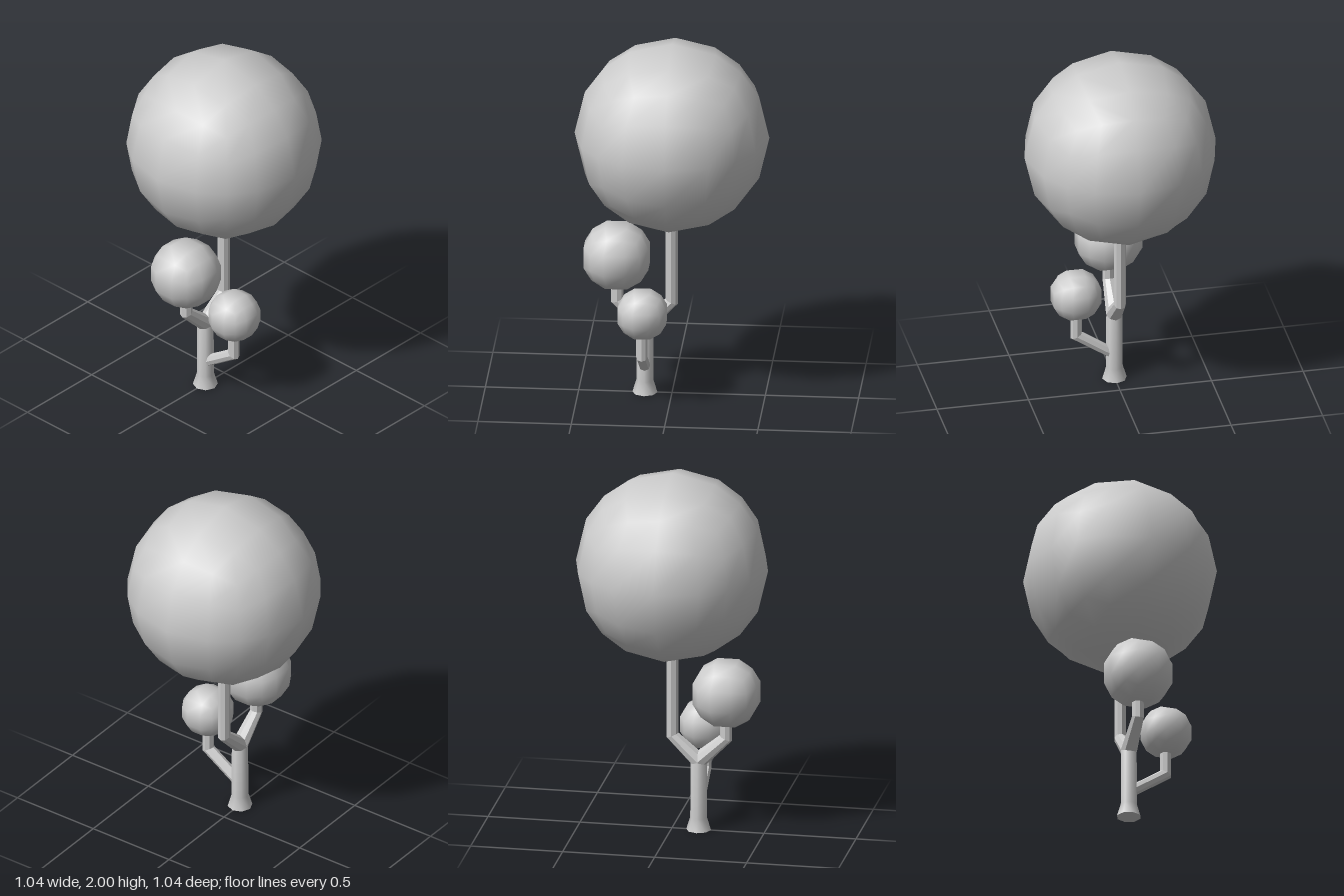
import * as THREE from 'three';

const material = new THREE.MeshStandardMaterial({ color: 0xcccccc });
const barkMaterial = new THREE.MeshStandardMaterial({ color: 0xcccccc, flatShading: true });

// Ball of leaves: a subdivided cube pushed out to a sphere, smooth normals
function foliage(name, radius, segments, x, y, z) {
  const geo = new THREE.BoxGeometry(2, 2, 2, segments, segments, segments);
  const pos = geo.attributes.position;
  const v = new THREE.Vector3();
  for (let i = 0; i < pos.count; i++) {
    v.fromBufferAttribute(pos, i).normalize();
    geo.attributes.normal.setXYZ(i, v.x, v.y, v.z);
    pos.setXYZ(i, v.x * radius, v.y * radius, v.z * radius);
  }
  const mesh = new THREE.Mesh(geo, material);
  mesh.name = name;
  mesh.position.set(x, y, z);
  return mesh;
}

// Eight-sided limb with mitred elbows; the path lies in one vertical plane.
// side is the direction square to that plane, radii has one value per point.
function limb(name, path, radii, side) {
  const sides = 8;
  const points = path.map((p) => new THREE.Vector3(...p));
  const b = new THREE.Vector3(...side);
  const last = points.length - 1;
  const vertices = [];
  const index = [];
  points.forEach((p, i) => {
    const into = points[i].clone().sub(points[Math.max(i - 1, 0)]).normalize();
    const out = points[Math.min(i + 1, last)].clone().sub(p).normalize();
    const t = into.clone().add(out).normalize();
    const n = new THREE.Vector3().crossVectors(t, b);
    const stretch = 1 / t.dot(i < last ? out : into);
    for (let k = 0; k < sides; k++) {
      const a = (k / sides) * Math.PI * 2;
      const q = p.clone()
        .addScaledVector(b, Math.cos(a) * radii[i])
        .addScaledVector(n, -Math.sin(a) * radii[i] * stretch);
      vertices.push(q.x, q.y, q.z);
      if (i < last) {
        const c = i * sides + k;
        const d = i * sides + ((k + 1) % sides);
        index.push(c, c + sides, d, d, c + sides, d + sides);
      }
    }
  });
  const geo = new THREE.BufferGeometry();
  geo.setAttribute('position', new THREE.Float32BufferAttribute(vertices, 3));
  // Make the winding face outward whichever way side points
  const [A, B, C] = [0, 1, 2].map((k) => new THREE.Vector3().fromArray(vertices, index[k] * 3));
  const normal = B.clone().sub(A).cross(C.sub(A));
  if (normal.dot(A.sub(points[0])) < 0) index.reverse();
  geo.setIndex(index);
  geo.computeVertexNormals();
  const mesh = new THREE.Mesh(geo, barkMaterial);
  mesh.name = name;
  return mesh;
}

export function createModel() {
  const tree = new THREE.Group();
  tree.name = 'tree';
  const trunkX = -0.145;

  // Trunk with a flared foot
  const profile = [[0, 0], [0.067, 0], [0.067, 0], [0.046, 0.07], [0.044, 0.4], [0, 0.42]];
  const trunk = new THREE.Mesh(
    new THREE.LatheGeometry(profile.map(([r, y]) => new THREE.Vector2(r, y)), 8), material);
  trunk.name = 'trunk';
  trunk.position.x = trunkX;
  tree.add(trunk);

  // Forked upper branches and the low front branch
  tree.add(limb('tallBranch', [[trunkX, 0.39, 0], [-0.002, 0.525, 0], [-0.002, 1.05, 0]],
    [0.045, 0.033, 0.033], [0, 0, 1]));
  tree.add(limb('sideBranch', [[trunkX, 0.39, 0], [-0.293, 0.525, 0], [-0.293, 0.68, 0]],
    [0.045, 0.033, 0.033], [0, 0, 1]));
  tree.add(limb('frontBranch', [[trunkX, 0.145, 0], [trunkX, 0.283, 0.208], [trunkX, 0.46, 0.208]],
    [0.031, 0.031, 0.031], [1, 0, 0]));

  // Three balls of leaves
  tree.add(foliage('largeFoliage', 0.522, 4, 0, 1.48, 0));
  tree.add(foliage('mediumFoliage', 0.192, 3, -0.296, 0.78, 0));
  tree.add(foliage('smallFoliage', 0.143, 3, -0.142, 0.53, 0.21));
  return tree;
}
